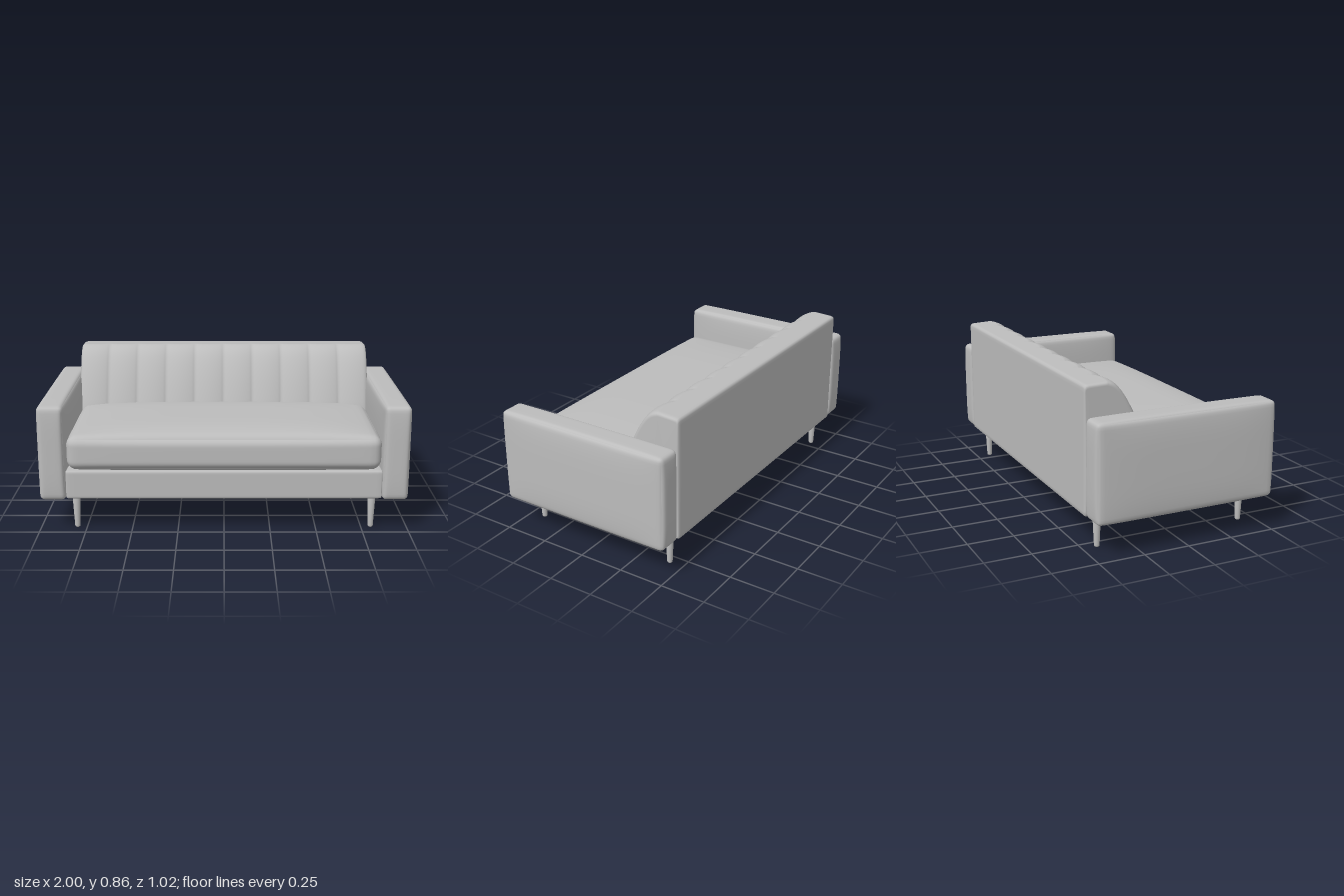
import * as THREE from 'three';
import { mergeVertices } from 'three/addons/utils/BufferGeometryUtils.js';

// Upholstered block: a box with rounded edges and gently puffed faces.
function softBox(w, h, d, r, puff = [0, 0, 0], n = 24) {
  let geo = new THREE.BoxGeometry(2, 2, 2, n, n, n);
  geo.deleteAttribute('normal');
  geo.deleteAttribute('uv');
  geo = mergeVertices(geo, 1e-4);
  const pos = geo.attributes.position;
  const half = new THREE.Vector3(w / 2, h / 2, d / 2);
  const core = half.clone().subScalar(r);
  const low = core.clone().negate();
  const t = new THREE.Vector3();
  const fall = (v) => 1 - v ** 4;
  for (let i = 0; i < pos.count; i++) {
    // crowd the grid towards the edges so the rounding is smooth
    t.fromBufferAttribute(pos, i);
    t.set(...t.toArray().map((v) => Math.sin(v * Math.PI / 2)));
    const p = t.clone().multiply(half);
    const inner = p.clone().clamp(low, core);
    p.sub(inner).setLength(r).add(inner);
    p.x += puff[0] * t.x * fall(t.y) * fall(t.z);
    p.y += puff[1] * t.y * fall(t.x) * fall(t.z);
    p.z += puff[2] * t.z * fall(t.x) * fall(t.y);
    pos.setXYZ(i, p.x, p.y, p.z);
  }
  geo.computeVertexNormals();
  return geo;
}

// Backrest: a side profile swept along x, with vertical channels on the front.
function channelledBack(halfWidth, channels) {
  const front = new THREE.CatmullRomCurve3([
    [-0.39, 0.859], [-0.365, 0.86], [-0.33, 0.845], [-0.29, 0.803], [-0.23, 0.70], [-0.17, 0.56], [-0.15, 0.50],
  ].map(([z, y]) => new THREE.Vector3(0, y, z))).getPoints(28).map((p, i) => [p.z, p.y, Math.min(1, i / 5)]);
  // each entry is z, y and how deeply the channels cut there
  const profile = [
    [-0.497, 0.185, 0], [-0.505, 0.193, 0], [-0.505, 0.21, 0], [-0.505, 0.5, 0], [-0.505, 0.82, 0],
    [-0.505, 0.838, 0], [-0.502, 0.847, 0], [-0.495, 0.853, 0], [-0.48, 0.855, 0],
    ...front, [-0.15, 0.20, 0], [-0.16, 0.185, 0],
  ];
  const xs = [];
  const steps = channels * 16;
  for (let i = 0; i <= steps; i++) xs.push(-halfWidth + (2 * halfWidth * i) / steps);
  xs.splice(1, 0, -halfWidth + 0.002, -halfWidth + 0.005);
  xs.splice(xs.length - 1, 0, halfWidth - 0.005, halfWidth - 0.002);

  const cz = -0.35, cy = 0.5, round = 0.018;
  const verts = [], index = [], n = profile.length;
  for (const x of xs) {
    const groove = 1 - Math.abs(Math.sin(Math.PI * channels * (x + halfWidth) / (2 * halfWidth))) ** 0.6;
    const k = Math.max(0, 1 - (halfWidth - Math.abs(x)) / round);
    const inset = round * (1 - Math.sqrt(1 - k * k));
    for (const [z, y, cut] of profile) {
      const len = Math.hypot(z - cz, y - cy);
      const s = 1 - inset / len;
      verts.push(x, cy + (y - cy) * s - 0.004 * groove * cut, cz + (z - cz) * s - 0.016 * groove * cut);
    }
  }
  const last = (xs.length - 1) * n;
  const centre = xs.length * n;
  verts.push(-halfWidth, cy, cz, halfWidth, cy, cz);
  for (let j = 0; j < n; j++) {
    const k = (j + 1) % n;
    for (let i = 0; i < last; i += n) {
      index.push(i + j, i + k, i + n + j, i + k, i + n + k, i + n + j);
    }
    index.push(centre, k, j, centre + 1, last + j, last + k);
  }
  const geo = new THREE.BufferGeometry();
  geo.setAttribute('position', new THREE.Float32BufferAttribute(verts, 3));
  geo.setIndex(index);
  geo.computeVertexNormals();
  return geo;
}

export function createModel() {
  const sofa = new THREE.Group();
  sofa.name = 'sofa';
  const grey = new THREE.MeshStandardMaterial({ color: 0xbcbcbc });
  grey.name = 'light grey';

  const add = (name, geo, x = 0, y = 0, z = 0) => {
    const mesh = new THREE.Mesh(geo, grey);
    mesh.name = name;
    mesh.position.set(x, y, z);
    sofa.add(mesh);
  };

  // frame, cushion and backrest
  add('baseFrame', softBox(1.70, 0.16, 0.98, 0.015), 0, 0.265, 0);
  add('seatCushion', softBox(1.68, 0.185, 0.76, 0.05, [0.005, 0.035, 0.008], 32), 0, 0.4375, 0.115);
  add('backrest', channelledBack(0.85, 10));

  // arms and tapered legs, mirrored left and right
  const arm = softBox(0.14, 0.516, 1.0, 0.024, [0.012, 0.004, 0.008]);
  const leg = new THREE.LatheGeometry([
    [0, 0], [0.009, 0], [0.013, 0.003], [0.0145, 0.01], [0.023, 0.20], [0, 0.20],
  ].map(([r, y]) => new THREE.Vector2(r, y)), 24);
  for (const [side, x] of [['left', 1], ['right', -1]]) {
    add(side + 'Arm', arm, x * 0.918, 0.44, 0);
    add(side + 'FrontLeg', leg, x * 0.803, 0, 0.415);
    add(side + 'BackLeg', leg, x * 0.803, 0, -0.42);
  }
  return sofa;
}
